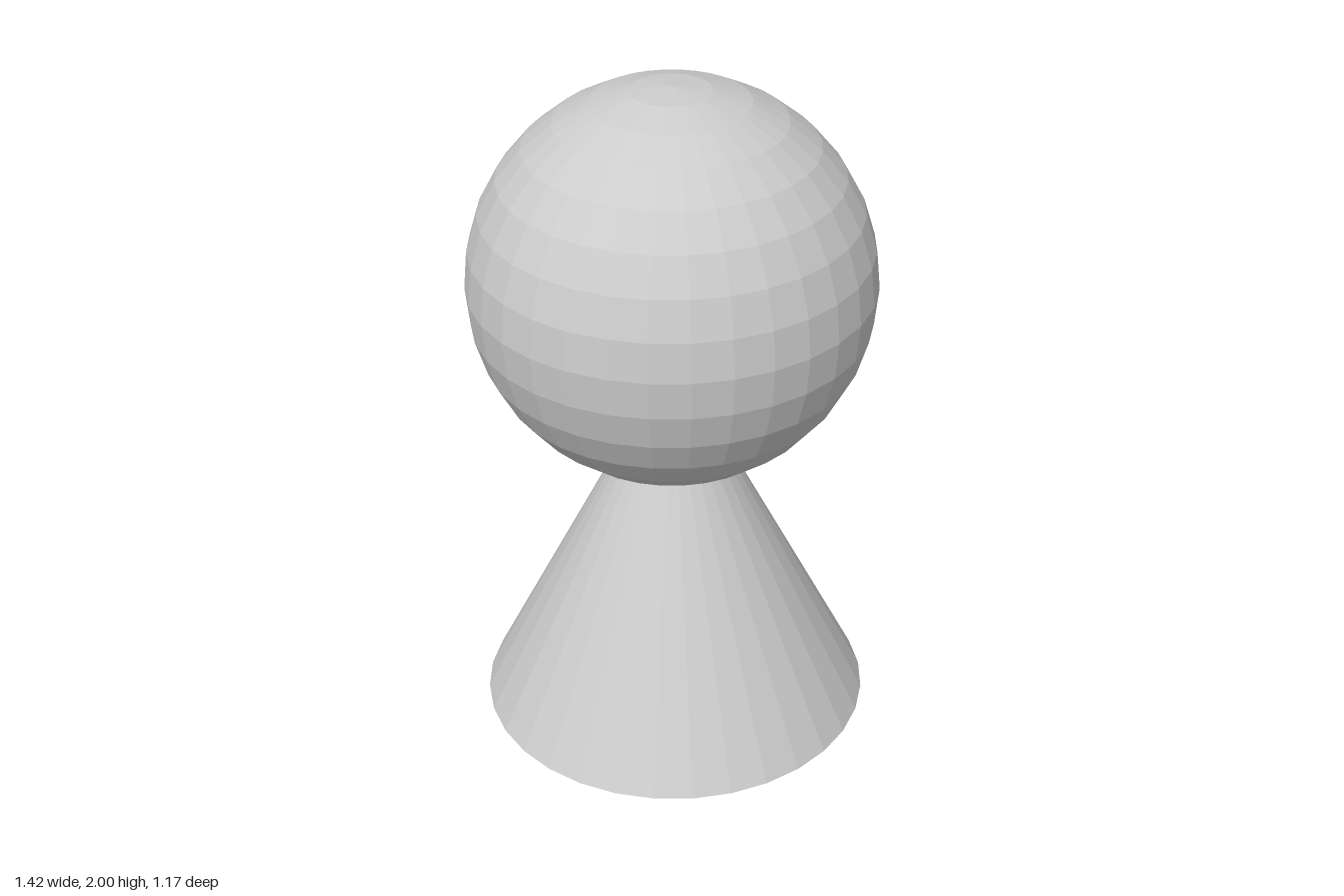
import * as THREE from 'three';

export function createModel() {
  const model = new THREE.Group();
  const material = new THREE.MeshStandardMaterial({ color: 0xcccccc, flatShading: true });
  const radius = 0.585;
  const centreX = -0.128;

  const add = (name, geometry, x, y) => {
    const mesh = new THREE.Mesh(geometry, material);
    mesh.name = name;
    mesh.position.set(x, y, 0);
    model.add(mesh);
    return mesh;
  };

  // Conical body, its tip reaching into the head
  add('body', new THREE.ConeGeometry(radius, radius * 2, 32), centreX, radius);

  // Round faceted head
  add('head', new THREE.SphereGeometry(radius, 32, 16), centreX, 2 - radius);

  // Beak: a small cone pointing along +x, its base sunk in the head
  const beakLength = 0.5;
  const beak = add('beak', new THREE.ConeGeometry(beakLength / 2, beakLength, 32), 0.711 - beakLength / 2, 1.318);
  beak.rotation.z = -Math.PI / 2;

  return model;
}
